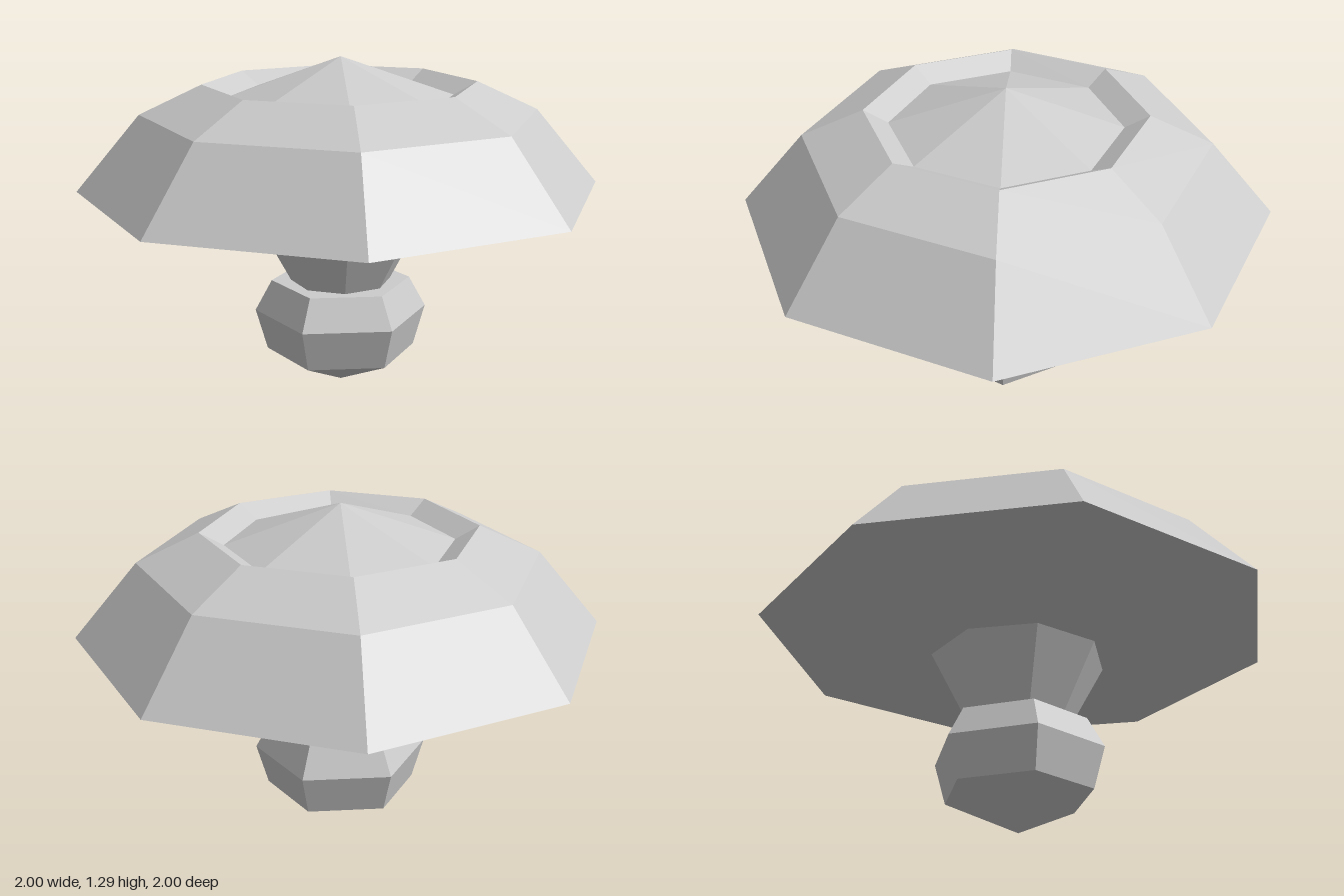
import * as THREE from 'three';

const grey = new THREE.MeshStandardMaterial({ color: 0xcccccc, flatShading: true });
grey.name = 'light grey';

// Faceted solid of revolution; profile runs from bottom to top as [radius, y]
function turned(name, sides, phiStart, profile) {
  const points = profile.map(([r, y]) => new THREE.Vector2(r, y));
  const mesh = new THREE.Mesh(new THREE.LatheGeometry(points, sides, phiStart), grey);
  mesh.name = name;
  return mesh;
}

export function createModel() {
  const group = new THREE.Group();
  group.name = 'facetedKnob';

  // Six-sided pointed bulb with a flat top, corners on the x axis
  group.add(turned('bulb', 6, Math.PI / 2, [
    [0, 0], [0.29, 0.14], [0.335, 0.3], [0.27, 0.42], [0, 0.42],
  ]));

  // Eight-sided flared stem
  group.add(turned('stem', 8, 0, [[0.195, 0.42], [0.34, 0.69]]));

  // Eight-sided domed cap: underside, two tiers, rim
  group.add(turned('cap', 8, 0, [
    [0.34, 0.69], [1, 0.79], [0.755, 1.08], [0.52, 1.19],
  ]));

  // Sunken groove inside the rim and the low central peak
  group.add(turned('capPeak', 8, 0, [[0.52, 1.19], [0.43, 1.14], [0, 1.29]]));

  return group;
}
